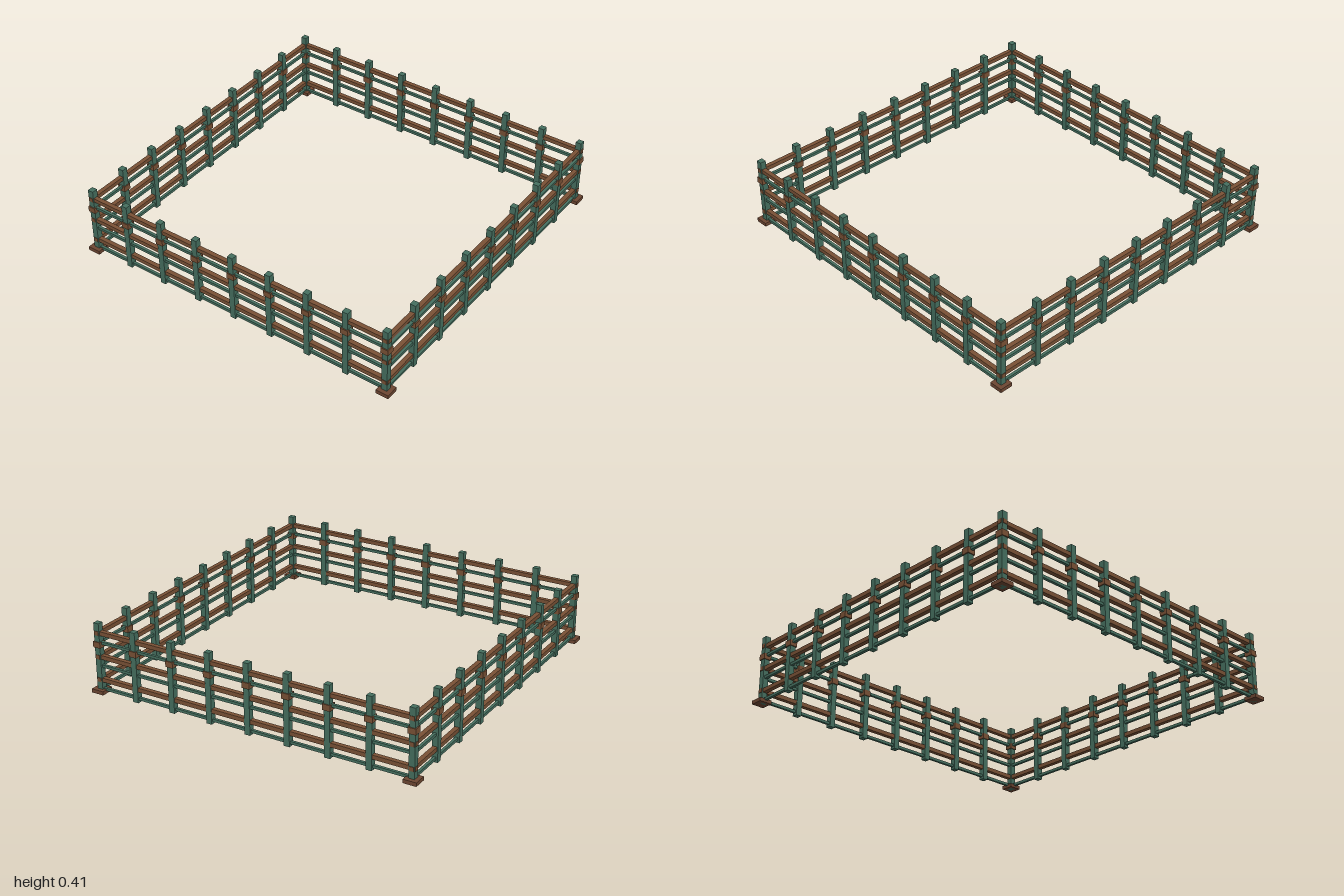
import * as THREE from 'three';

export function createModel() {
  const model = new THREE.Group();
  model.name = 'squareFence';
  const mat = (name, color) => {
    const m = new THREE.MeshStandardMaterial({ color });
    m.name = name;
    return m;
  };
  const green = mat('weathered green', 0x467060);
  const brown = mat('wood brown', 0x7a5236);
  const darkBrown = mat('dark wood brown', 0x6e4732);

  const box = (parent, name, material, w, h, d, x, y, z) => {
    const mesh = new THREE.Mesh(new THREE.BoxGeometry(w, h, d), material);
    mesh.name = name;
    mesh.position.set(x, y, z);
    parent.add(mesh);
  };

  const half = 0.96, step = 0.24, bays = 8;

  // Four identical sides, each owning one corner post
  for (let s = 0; s < 4; s++) {
    const side = new THREE.Group();
    side.name = 'fenceSide' + (s + 1);
    side.rotation.y = (s * Math.PI) / 2;
    model.add(side);

    // Posts with a wooden collar
    for (let i = 0; i < bays; i++) {
      const x = -half + i * step;
      box(side, 'post', green, 0.034, 0.41, 0.034, x, 0.205, half);
      box(side, 'postCollar', brown, 0.046, 0.034, 0.046, x, 0.285, half);
    }

    // Alternating wide wooden rails and thin green rails
    for (const y of [0.077, 0.212, 0.352])
      box(side, 'woodRail', brown, 2 * half + 0.04, 0.024, 0.026, 0, y, half);
    for (const y of [0.022, 0.158, 0.295])
      box(side, 'thinRail', green, 2 * half, 0.016, 0.016, 0, y, half);

    // Corner foot plate
    box(side, 'cornerFoot', darkBrown, 0.076, 0.022, 0.076, -half - 0.002, 0.011, half + 0.002);
  }
  return model;
}
